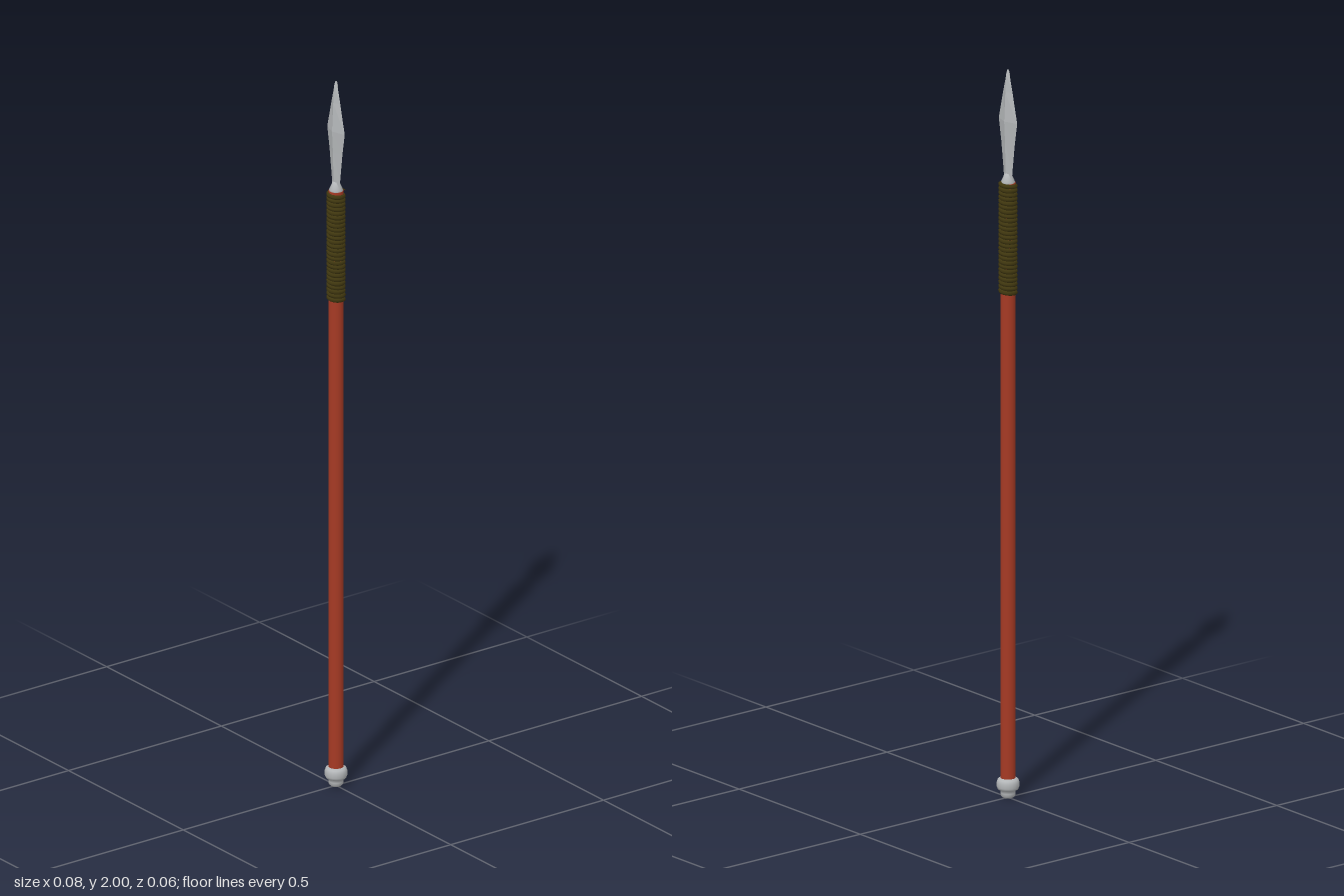
import * as THREE from 'three';

const paint = (name, color, extra = {}) => Object.assign(new THREE.MeshStandardMaterial({ color, ...extra }), { name });

// Diamond-section solid lofted through [y, halfWidth, halfDepth] rows, flat faces
function diamondLoft(rows) {
  const pos = [];
  const ring = ([y, w, d]) => [[w, y, 0], [0, y, d], [-w, y, 0], [0, y, -d]];
  for (let i = 0; i < rows.length - 1; i++) {
    const a = ring(rows[i]), b = ring(rows[i + 1]);
    for (let k = 0; k < 4; k++) {
      const n = (k + 1) % 4;
      pos.push(...a[k], ...b[k], ...b[n], ...a[k], ...b[n], ...a[n]);
    }
  }
  const t = ring(rows[rows.length - 1]), s = ring(rows[0]);
  pos.push(...t[0], ...t[3], ...t[2], ...t[0], ...t[2], ...t[1]);
  pos.push(...s[0], ...s[1], ...s[2], ...s[0], ...s[2], ...s[3]);
  const g = new THREE.BufferGeometry();
  g.setAttribute('position', new THREE.Float32BufferAttribute(pos, 3));
  g.computeVertexNormals();
  return g;
}

// Cord path winding upward around the shaft
class Coil extends THREE.Curve {
  constructor(radius, y0, y1, turns, start) {
    super();
    Object.assign(this, { radius, y0, y1, turns, start });
  }
  getPoint(t, target = new THREE.Vector3()) {
    const a = this.start + t * this.turns * Math.PI * 2;
    return target.set(Math.cos(a) * this.radius, this.y0 + (this.y1 - this.y0) * t, Math.sin(a) * this.radius);
  }
}

export function createModel() {
  const model = new THREE.Group();
  const wood = paint('red wood', 0xa63a24);
  const cord = paint('dark olive cord', 0x40370f);
  const steel = paint('steel', 0xb4b7b9);

  const add = (name, geometry, material) => {
    const mesh = new THREE.Mesh(geometry, material);
    mesh.name = name;
    model.add(mesh);
    return mesh;
  };
  const lathe = (points, sides) =>
    new THREE.LatheGeometry(points.map(([r, y]) => new THREE.Vector2(r, y)), sides);

  // Long shaft, running up inside the grip
  add('shaft', new THREE.CylinderGeometry(0.02, 0.02, 1.64, 16), wood).position.y = 0.87;

  // Cord binding below the blade
  const turns = 26;
  const coil = new Coil(0.0195, 1.383, 1.687, turns, -Math.PI / 4);
  add('cordBinding', new THREE.TubeGeometry(coil, turns * 16, 0.0065, 6, false), cord);

  // Flared socket joining blade and shaft
  add('bladeSocket', lathe([[0, 1.675], [0.018, 1.68], [0.018, 1.694], [0.013, 1.705], [0.009, 1.715], [0, 1.72]], 16), steel);

  // Leaf-shaped blade with a centre ridge
  add('blade', diamondLoft([
    [1.685, 0.015, 0.009],
    [1.72, 0.018, 0.008],
    [1.8, 0.028, 0.01],
    [1.86, 0.038, 0.013],
    [1.94, 0.019, 0.009],
    [1.99, 0.006, 0.006],
    [2.0, 0.002, 0.003],
  ]), steel);

  // Rounded butt cap with a small knob at the foot
  add('buttCap', lathe([
    [0, 0], [0.014, 0.001], [0.019, 0.006], [0.02, 0.014], [0.02, 0.021],
    [0.027, 0.024], [0.03, 0.031], [0.03, 0.043], [0.027, 0.051], [0.02, 0.055], [0, 0.055],
  ], 20), steel);

  return model;
}
